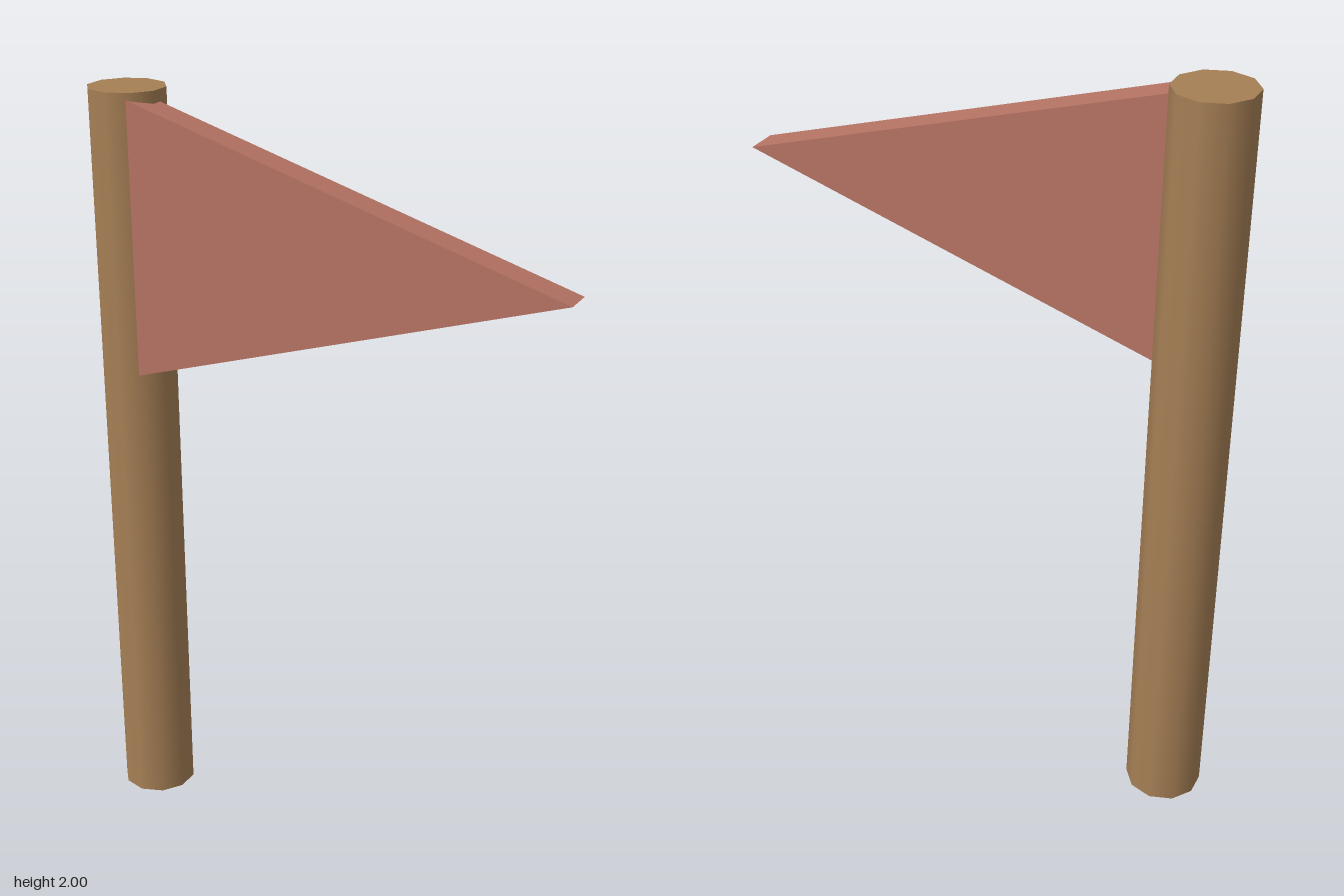
import * as THREE from 'three';

export function createModel() {
  const group = new THREE.Group();
  const wood = new THREE.MeshStandardMaterial({ color: 0xa67f55 });
  wood.name = 'brown wood';
  const cloth = new THREE.MeshStandardMaterial({ color: 0xb57363 });
  cloth.name = 'dusty red cloth';
  const poleX = -0.555;

  // Ten-sided pole with smooth sides and flat caps
  const pole = new THREE.Mesh(new THREE.CylinderGeometry(0.1, 0.1, 2, 10), wood);
  pole.name = 'pole';
  pole.position.set(poleX, 1, 0);
  group.add(pole);

  // Thick triangular pennant, its base buried in the pole
  const outline = new THREE.Shape([
    new THREE.Vector2(poleX, 1.262),
    new THREE.Vector2(0.645, 1.63),
    new THREE.Vector2(poleX, 1.998),
  ]);
  const pennant = new THREE.Mesh(
    new THREE.ExtrudeGeometry(outline, { depth: 0.084, bevelEnabled: false }), cloth);
  pennant.name = 'pennant';
  group.add(pennant);

  return group;
}
